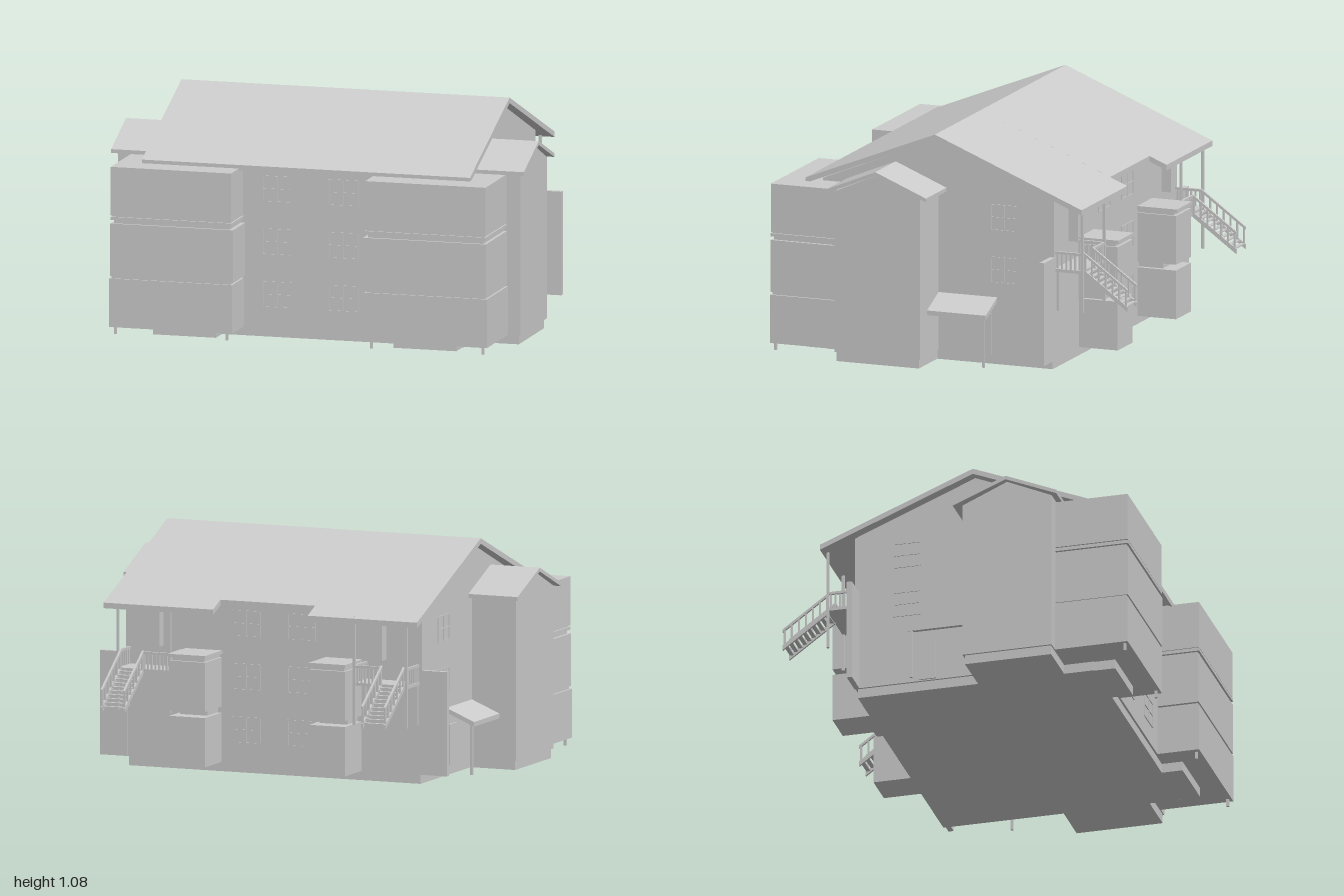
import * as THREE from 'three';

const mat = new THREE.MeshStandardMaterial({ color: 0xcccccc, flatShading: true, side: THREE.DoubleSide });

export function createModel() {
  const root = new THREE.Group();

  const add = (parent, name, geo) => {
    const m = new THREE.Mesh(geo, mat);
    m.name = name;
    parent.add(m);
    return m;
  };
  const group = (name, parent = root) => {
    const g = new THREE.Group();
    g.name = name;
    parent.add(g);
    return g;
  };
  // Box given by its extents
  const box = (parent, name, x0, x1, y0, y1, z0, z1) => {
    const g = new THREE.BoxGeometry(Math.abs(x1 - x0), Math.abs(y1 - y0), Math.abs(z1 - z0));
    g.translate((x0 + x1) / 2, (y0 + y1) / 2, (z0 + z1) / 2);
    return add(parent, name, g);
  };
  // Profile of [z, y] points extruded along x
  const slabX = (parent, name, pts, x0, x1) => {
    const shape = new THREE.Shape(pts.map(([z, y]) => new THREE.Vector2(-z, y)));
    const g = new THREE.ExtrudeGeometry(shape, { depth: Math.abs(x1 - x0), bevelEnabled: false });
    g.rotateY(Math.PI / 2).translate(Math.min(x0, x1), 0, 0);
    return add(parent, name, g);
  };
  // Pitched roof sheet with its ridge along x
  const pitched = (parent, name, x0, x1, ridge, front, back, t) => {
    const down = ([z, y]) => [z, y - t];
    slabX(parent, name, [front, ridge, back, down(back), down(ridge), down(front)], x0, x1);
  };
  // Paned window: frame bars just proud of a wall; axis 'x' or 'z' is the wall normal
  const windowBars = (parent, axis, at, c, y0, y1, w) => {
    const t = 0.004, b = 0.003;
    const bar = (a0, a1, v0, v1) => axis === 'z'
      ? box(parent, 'windowBar', a0, a1, v0, v1, at - t, at + t)
      : box(parent, 'windowBar', at - t, at + t, v0, v1, a0, a1);
    for (const u of [-w / 2, 0, w / 2]) bar(c + u - b, c + u + b, y0, y1);
    for (const v of [y0, (y0 + y1) / 2, y1]) bar(c - w / 2, c + w / 2, v - b, v + b);
  };

  // Main house
  box(root, 'foundation', -0.74, 0.74, 0, 0.05, -0.49, 0.65);
  slabX(root, 'mainWalls', [[0.66, 0.045], [0.66, 0.815], [0.08, 1.052], [-0.5, 0.815], [-0.5, 0.045]], -0.75, 0.75);

  // Main roof, notched in the middle of the back eave
  const roof = group('mainRoof');
  const ridge = [0.08, 1.08], front = [0.73, 0.82], back = [-0.658, 0.783];
  pitched(roof, 'roofMiddle', -0.24, 0.24, ridge, front, [-0.572, 0.818], 0.026);
  for (const s of [-1, 1]) pitched(roof, 'roofSide', s * 0.24, s * 0.795, ridge, front, back, 0.026);

  // Centre windows, front and back
  const windows = group('windows');
  for (const s of [-1, 1]) {
    for (const y of [0.14, 0.39, 0.64]) {
      windowBars(windows, 'z', 0.66, s * 0.16, y, y + 0.12, 0.14);
      windowBars(windows, 'z', -0.5, s * 0.14, y, y + 0.12, 0.14);
    }
    for (const y of [0.39, 0.64]) windowBars(windows, 'x', s * 0.75, -0.25, y, y + 0.12, 0.13);
  }

  for (const s of [-1, 1]) {
    const b = (parent, name, x0, x1, ...r) => box(parent, name, s * x0, s * x1, ...r);

    // Gabled side wing
    const wing = group('sideWing');
    b(wing, 'wingFoundation', 0.7, 0.965, 0, 0.05, 0.09, 0.505);
    slabX(wing, 'wingWalls', [[0.51, 0.045], [0.51, 0.81], [0.295, 0.905], [0.08, 0.81], [0.08, 0.045]], s * 0.7, s * 0.975);
    pitched(wing, 'wingRoof', s * 0.74, s * 1, [0.295, 0.925], [0.54, 0.823], [0.04, 0.821], 0.018);

    // Stacked front bays
    const bay = group('frontBay');
    b(bay, 'bayFoundation', 0.43, 0.735, 0, 0.045, 0.6, 0.75);
    b(bay, 'lowerBay', 0.32, 0.915, 0.045, 0.275, 0.5, 0.86);
    b(bay, 'lowerJoint', 0.33, 0.905, 0.275, 0.287, 0.5, 0.852);
    b(bay, 'middleBay', 0.315, 0.91, 0.287, 0.535, 0.5, 0.86);
    b(bay, 'upperJoint', 0.335, 0.895, 0.535, 0.552, 0.5, 0.848);
    b(bay, 'bayLedge', 0.322, 0.908, 0.552, 0.567, 0.5, 0.86);
    b(bay, 'upperJoint', 0.33, 0.9, 0.567, 0.572, 0.5, 0.852);
    b(bay, 'upperBay', 0.325, 0.908, 0.572, 0.803, 0.5, 0.858);
    for (const x of [0.35, 0.89]) b(bay, 'bayFoot', x - 0.006, x + 0.006, 0.01, 0.05, 0.834, 0.846);

    // Side entrance with sloping canopy
    const porch = group('sidePorch');
    const canopy = new THREE.Shape([[0.74, 0.325], [0.89, 0.262], [0.89, 0.24], [0.74, 0.303]]
      .map(([x, y]) => new THREE.Vector2(s * x, y)));
    add(porch, 'canopy', new THREE.ExtrudeGeometry(canopy, { depth: 0.295, bevelEnabled: false }).translate(0, 0, -0.215));
    b(porch, 'canopyPost', 0.864, 0.876, 0.01, 0.25, -0.202, -0.19);
    b(porch, 'sideDoor', 0.74, 0.757, 0.05, 0.24, -0.19, -0.11);

    // Privacy screen at the back corner
    b(root, 'screenWall', 0.74, 0.88, 0.045, 0.535, -0.505, -0.48);

    // Back bays
    const rear = group('backBay');
    b(rear, 'lowerBackBay', 0.265, 0.445, 0.045, 0.277, -0.695, -0.49);
    b(rear, 'backBayNeck', 0.285, 0.425, 0.277, 0.305, -0.62, -0.49);
    b(rear, 'upperBackBay', 0.265, 0.445, 0.305, 0.537, -0.695, -0.49);
    b(rear, 'backBayNeck', 0.275, 0.435, 0.537, 0.553, -0.68, -0.49);
    b(rear, 'backBayCap', 0.262, 0.448, 0.553, 0.569, -0.7, -0.49);

    // Balcony with railings and posts
    const balcony = group('balcony');
    b(balcony, 'balconyFloor', 0.46, 0.74, 0.465, 0.48, -0.64, -0.5);
    for (const x of [0.468, 0.732]) {
      b(balcony, 'roofPost', x - 0.006, x + 0.006, 0.28, 0.79, -0.642, -0.63);
      b(balcony, 'floorPost', x - 0.006, x + 0.006, 0.28, 0.47, -0.521, -0.509);
      b(balcony, 'sideRail', x - 0.006, x + 0.006, 0.55, 0.562, -0.64, -0.5);
      for (let i = 0; i < 6; i++) {
        const z = -0.512 - i * 0.022;
        b(balcony, 'baluster', x - 0.004, x + 0.004, 0.478, 0.552, z - 0.004, z + 0.004);
      }
    }
    b(balcony, 'backRail', 0.468, 0.605, 0.55, 0.562, -0.642, -0.63);
    for (let i = 0; i < 7; i++) {
      const x = 0.485 + i * 0.019;
      b(balcony, 'baluster', x - 0.004, x + 0.004, 0.478, 0.552, -0.64, -0.632);
    }
    b(balcony, 'openDoor', 0.56, 0.57, 0.575, 0.775, -0.547, -0.5);

    // Stair running down from the balcony
    const stair = group('backStair');
    const drop = (z) => (z + 0.635) * 0.72;
    const z0 = -0.635, z1 = -0.858;
    const sloped = (name, x, y, h) => slabX(stair, name,
      [[z0, y], [z1, y + drop(z1)], [z1, y + drop(z1) - h], [z0, y - h]], s * (x - 0.005), s * (x + 0.005));
    for (const x of [0.605, 0.718]) {
      sloped('stringer', x, 0.485, 0.024);
      sloped('handrail', x, 0.567, 0.014);
      for (let i = 0; i < 7; i++) {
        const z = -0.645 - i * 0.034;
        b(stair, 'stairBaluster', x - 0.004, x + 0.004, 0.47 + drop(z), 0.56 + drop(z), z - 0.004, z + 0.004);
      }
    }
    for (let i = 0; i < 10; i++) {
      const z = -0.65 - i * 0.0215;
      b(stair, 'tread', 0.605, 0.718, 0.472 + drop(z), 0.478 + drop(z), z - 0.011, z + 0.009);
    }
  }
  return root;
}
